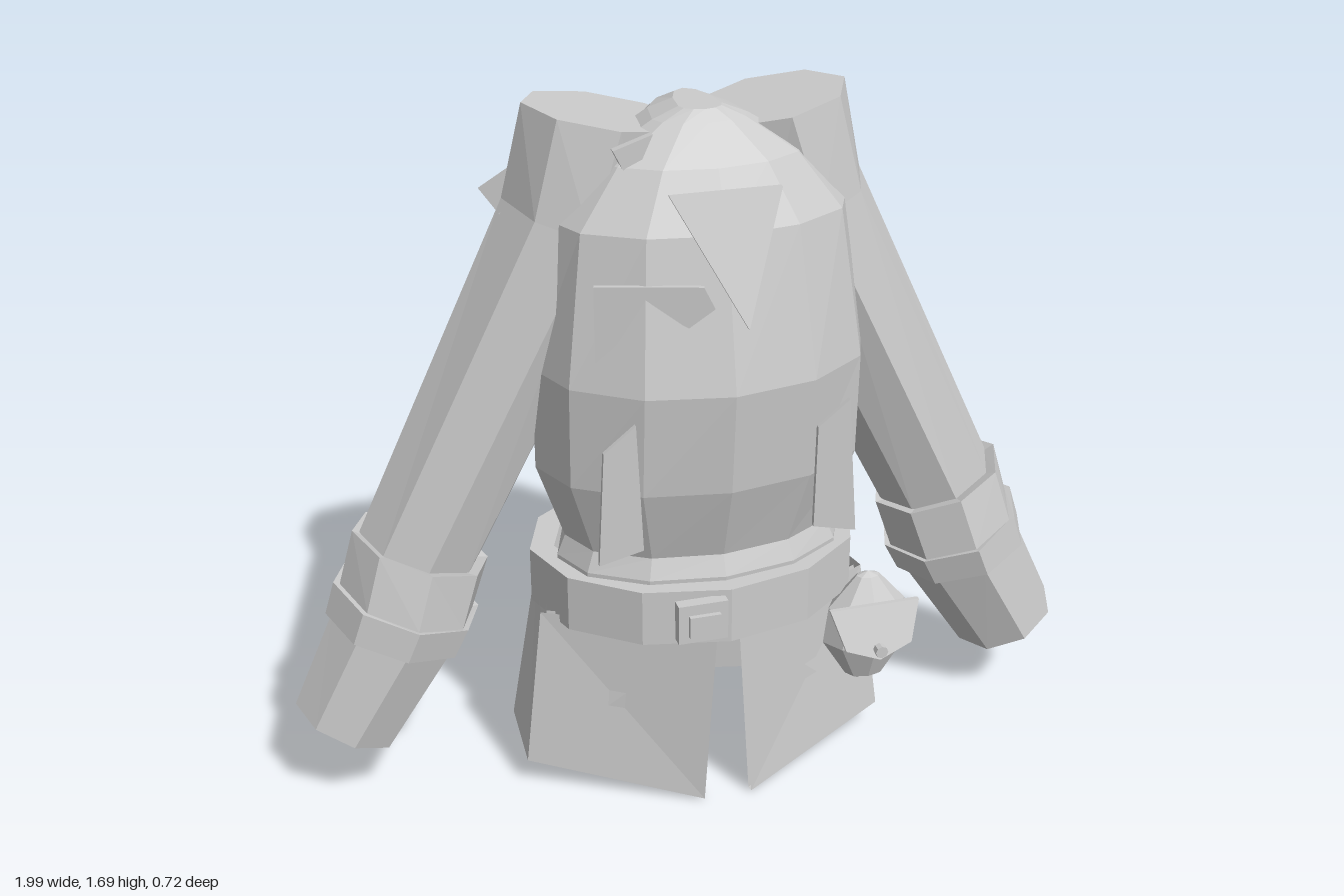
import * as THREE from 'three';

const mat = new THREE.MeshStandardMaterial({ color: 0xcccccc, flatShading: true });
const sheetMat = new THREE.MeshStandardMaterial({ color: 0xcccccc, flatShading: true, side: THREE.DoubleSide });

function add(parent, name, geometry, material = mat) {
  const mesh = new THREE.Mesh(geometry, material);
  mesh.name = name;
  parent.add(mesh);
  return mesh;
}

// Skins cross-sections listed from the bottom up; each is an array of [x, y, z]
function loft(sections, { closed = true, caps = true } = {}) {
  const n = sections[0].length, pos = [], idx = [];
  sections.forEach(s => s.forEach(p => pos.push(...p)));
  const last = closed ? n : n - 1;
  for (let i = 0; i < sections.length - 1; i++) {
    for (let j = 0; j < last; j++) {
      const a = i * n + j, b = i * n + (j + 1) % n;
      idx.push(a, b, b + n, a, b + n, a + n);
    }
  }
  if (caps && closed) {
    const top = (sections.length - 1) * n;
    for (let j = 1; j < n - 1; j++) idx.push(0, j + 1, j, top, top + j, top + j + 1);
  }
  const g = new THREE.BufferGeometry();
  g.setAttribute('position', new THREE.Float32BufferAttribute(pos, 3));
  g.setIndex(idx);
  const flat = g.toNonIndexed();
  flat.computeVertexNormals();
  return flat;
}

// Horizontal twelve-sided oval, widest at depth mid
function oval(y, halfX, front, back, mid = 0) {
  return Array.from({ length: 12 }, (_, i) => {
    const a = i / 12 * Math.PI * 2, c = Math.cos(a);
    return [halfX * Math.sin(a), y, mid + (c > 0 ? front - mid : mid - back) * c];
  });
}

// Eight-sided sleeve section between an outer and an inner edge point
function sleeveRing([ox, oy, ix, iy, front, back]) {
  return Array.from({ length: 8 }, (_, i) => {
    const a = i / 8 * Math.PI * 2, s = Math.sin(a);
    return [(ox + ix) / 2 + (ox - ix) / 2 * s, (oy + iy) / 2 + (oy - iy) / 2 * s,
      (front + back) / 2 + (front - back) / 2 * Math.cos(a)];
  });
}

// Thin plate drawn in the front plane, leaning by slope about height y0
function plate(points, z, depth = 0.012, slope = 0, y0 = 0) {
  const g = new THREE.ExtrudeGeometry(new THREE.Shape(points.map(p => new THREE.Vector2(...p))),
    { depth, bevelEnabled: false });
  const p = g.attributes.position;
  for (let i = 0; i < p.count; i++) p.setZ(i, p.getZ(i) + z + slope * (p.getY(i) - y0));
  g.computeVertexNormals();
  return g;
}

// One sleeve, its cuff and half of the split skirt, on the left (+x)
function buildSide(name) {
  const side = new THREE.Group();
  side.name = name;
  add(side, 'sleeve', loft([
    [0.80, 0.62, 0.55, 0.51, 0.08, -0.20],
    [0.81, 0.67, 0.53, 0.56, 0.085, -0.21],
    [0.43, 1.47, 0.11, 1.36, 0.13, -0.26],
    [0.38, 1.69, 0.01, 1.62, 0.12, -0.22],
  ].map(sleeveRing)));
  add(side, 'cuff', loft([
    [0.98, 0.25, 0.77, 0.145, 0.1, -0.155],
    [0.997, 0.25, 0.757, 0.13, 0.115, -0.17],
    [0.89, 0.48, 0.585, 0.38, 0.135, -0.215],
    [0.905, 0.48, 0.572, 0.37, 0.15, -0.235],
    [0.88, 0.56, 0.535, 0.44, 0.155, -0.245],
    [0.865, 0.555, 0.55, 0.44, 0.14, -0.225],
    [0.825, 0.69, 0.505, 0.57, 0.12, -0.215],
    [0.80, 0.67, 0.54, 0.57, 0.08, -0.19],
  ].map(sleeveRing)));
  // Skirt half from front slit to back slit, with a slightly smaller lining
  const hem = [[0.06, 0.01, 0.31], [0.46, 0.075, 0.12], [0.43, 0.005, -0.21], [0.05, 0.005, -0.3]];
  const waist = [[0.03, 0.48, 0.31], [0.41, 0.48, 0.1], [0.35, 0.48, -0.2], [0.03, 0.48, -0.3]];
  const lining = row => row.map(([x, y, z]) => [x * 0.96, y, z * 0.95]);
  add(side, 'skirtPanel', loft([lining(waist), lining(hem), hem, waist], { closed: false }), sheetMat);
  return side;
}

export function createModel() {
  const model = new THREE.Group();
  model.name = 'beltedJacket';

  // Body
  add(model, 'torso', loft([
    [0.46, 0.36, 0.27, -0.25], [0.61, 0.355, 0.28, -0.235], [0.66, 0.335, 0.26, -0.215],
    [0.85, 0.4, 0.32, -0.22], [1.1, 0.4, 0.345, -0.23], [1.45, 0.35, 0.27, -0.22],
    [1.58, 0.24, 0.2, -0.18], [1.66, 0.11, 0.125, -0.13], [1.685, 0.05, 0.1, -0.08],
  ].map(s => oval(...s, 0.06))));

  const left = buildSide('leftSide');
  const right = buildSide('rightSide');
  right.scale.x = -1;
  model.add(left, right);

  // Belt and buckle
  add(model, 'belt', loft([
    oval(0.46, 0.37, 0.28, -0.27), oval(0.46, 0.41, 0.325, -0.31),
    oval(0.6, 0.41, 0.325, -0.31), oval(0.6, 0.35, 0.27, -0.25),
  ], { caps: false }), sheetMat);
  const buckle = new THREE.Group();
  buckle.name = 'buckle';
  buckle.position.set(-0.075, 0.535, 0.33);
  model.add(buckle);
  add(buckle, 'buckleBase', new THREE.BoxGeometry(0.12, 0.1, 0.03));
  add(buckle, 'buckleStud', new THREE.BoxGeometry(0.075, 0.055, 0.012)).position.z = 0.028;

  // Pouch with flap and button
  const pouch = new THREE.Group();
  pouch.name = 'pouch';
  model.add(pouch);
  const profile = [[0.001, 0.215], [0.05, 0.235], [0.112, 0.335], [0.1, 0.43], [0.03, 0.51], [0.001, 0.52]];
  const bag = add(pouch, 'pouchBag', new THREE.LatheGeometry(profile.map(p => new THREE.Vector2(...p)), 8));
  bag.scale.z = 0.65;
  bag.position.set(0.39, 0, 0.2);
  add(pouch, 'pouchFlap', plate(
    [[0.27, 0.46], [0.3, 0.365], [0.385, 0.335], [0.47, 0.365], [0.5, 0.46]], 0.255, 0.012, -0.4, 0.46));
  const button = add(pouch, 'pouchButton', new THREE.CylinderGeometry(0.016, 0.016, 0.02, 8));
  button.rotation.x = Math.PI / 2;
  button.position.set(0.385, 0.36, 0.315);

  // Cloth flaps on the chest and waist
  add(model, 'chestFlap', plate([[-0.13, 1.55], [0.025, 1.26], [0.125, 1.55]], 0.255, 0.012, -0.3, 1.55));
  const pocket = add(model, 'chestPocket', plate(
    [[-0.25, 1.35], [-0.25, 1.17], [-0.14, 1.27], [-0.1, 1.21], [0.015, 1.3], [-0.01, 1.35]], 0));
  pocket.position.set(-0.05, 0, 0.295);
  pocket.rotation.y = -0.3;
  add(model, 'rightWaistFlap', plate([[-0.31, 0.7], [-0.205, 0.725], [-0.22, 1.04], [-0.295, 0.98]], 0.292));
  add(model, 'leftWaistFlap', plate([[0.205, 0.725], [0.31, 0.7], [0.285, 1.04], [0.21, 0.98]], 0.292));
  add(model, 'collarTip', plate([[-0.22, 1.62], [-0.18, 1.54], [-0.13, 1.65]], 0.12, 0.02));

  // Torn shoulder piece and strap behind the right shoulder
  const tear = [[-0.25, 1.17, -0.245], [-0.15, 1.62, -0.24], [-0.44, 1.44, -0.04]];
  const tip = [-0.43, 1.4, -0.36];
  add(model, 'shoulderTear', loft([tear, [tip, tip, tip]], { caps: false }), sheetMat);
  const strap = add(model, 'shoulderStrap', new THREE.BoxGeometry(0.09, 0.4, 0.05));
  strap.position.set(-0.17, 1.42, -0.225);
  strap.rotation.z = -0.25;

  return model;
}
